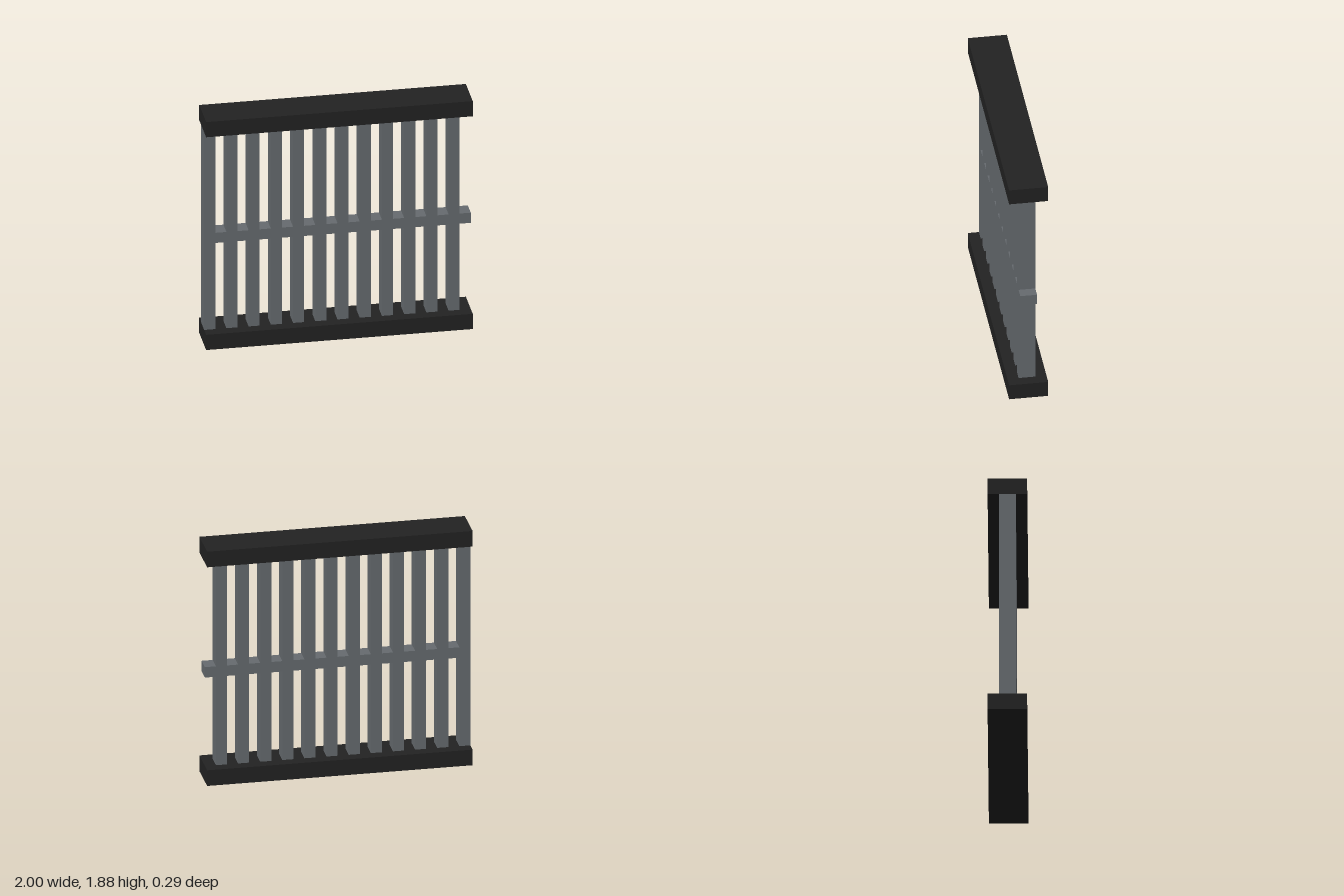
import * as THREE from 'three';

export function createModel() {
  const group = new THREE.Group();
  const darkBeam = new THREE.MeshStandardMaterial({ color: 0x222222 });
  darkBeam.name = 'darkBeam';
  const greyMetal = new THREE.MeshStandardMaterial({ color: 0x666b6f });
  greyMetal.name = 'greyMetal';

  function box(name, material, [w, h, d], [x, y, z]) {
    const mesh = new THREE.Mesh(new THREE.BoxGeometry(w, h, d), material);
    mesh.name = name;
    mesh.position.set(x, y, z);
    group.add(mesh);
  }

  const height = 1.875, beamH = 0.125, beamD = 0.292;
  const barW = 1 / 12, barD = 0.125, count = 12;

  // Heavy beams at the floor and the top
  box('bottomBeam', darkBeam, [2, beamH, beamD], [0, beamH / 2, 0]);
  box('topBeam', darkBeam, [2, beamH, beamD], [0, height - beamH / 2, 0]);

  // Upright bars, each followed by a piece of the flush middle rail
  for (let i = 0; i < count; i++) {
    const x = -1 + barW / 2 + i * barW * 2;
    box('bar' + (i + 1), greyMetal, [barW, height - 2 * beamH, barD], [x, height / 2, 0]);
    box('middleRail' + (i + 1), greyMetal, [barW, barW, barD], [x + barW, 0.875, 0]);
  }
  return group;
}
